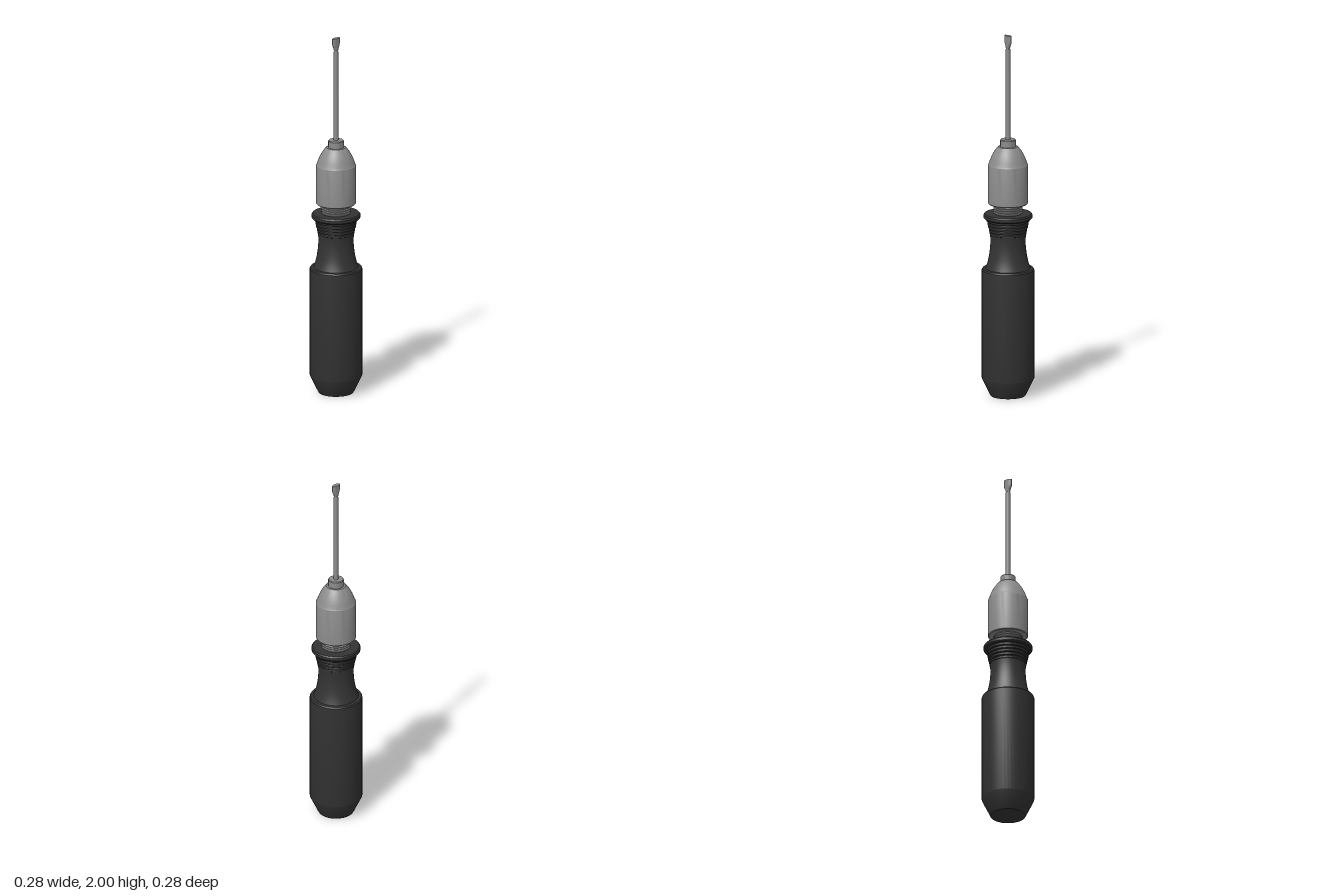
import * as THREE from 'three';
import { toCreasedNormals } from 'three/addons/utils/BufferGeometryUtils.js';

export function createModel() {
  const model = new THREE.Group();
  model.name = 'screwdriver';

  const rubber = new THREE.MeshStandardMaterial({ color: 0x333333 });
  rubber.name = 'black rubber';
  const steel = new THREE.MeshStandardMaterial({ color: 0x8c8c8c });
  steel.name = 'grey steel';

  // Turned part from [radius, height] pairs listed bottom to top
  function turned(name, profile, material, segments = 48) {
    const points = profile.map(([r, y]) => new THREE.Vector2(r, y));
    const geometry = toCreasedNormals(new THREE.LatheGeometry(points, segments), 0.45);
    const mesh = new THREE.Mesh(geometry, material);
    mesh.name = name;
    model.add(mesh);
    return mesh;
  }

  // Grip with chamfered foot and rounded shoulder
  turned('grip', [
    [0, 0], [0.094, 0], [0.098, 0.006], [0.142, 0.098], [0.142, 0.7],
    [0.137, 0.707], [0.122, 0.709], [0, 0.709],
  ], rubber);

  // Waisted neck
  turned('neck', [
    [0.122, 0.708], [0.112, 0.735], [0.104, 0.77], [0.098, 0.81],
    [0.095, 0.85], [0.096, 0.88], [0.098, 0.9], [0, 0.9],
  ], rubber);

  // Ribs flaring out towards the collar
  const ribs = [[0, 0.895]];
  for (let i = 0; i < 5; i++) {
    const y = 0.895 + i * 0.018;
    const r = 0.099 + i * 0.004;
    ribs.push([r - 0.004, y], [r + 0.001, y + 0.004], [r + 0.001, y + 0.014], [r - 0.003, y + 0.018]);
  }
  ribs.push([0, 0.985]);
  turned('neckRibs', ribs, rubber);

  // Collar at the top of the neck
  turned('collar', [
    [0.108, 0.98], [0.126, 0.983], [0.132, 0.99], [0.132, 1.005],
    [0.126, 1.012], [0, 1.012],
  ], rubber);

  // Threaded stud between collar and chuck
  const thread = [[0.074, 1.008]];
  for (let i = 0; i < 5; i++) {
    const y = 1.012 + i * 0.012;
    thread.push([0.074, y], [0.079, y + 0.004], [0.079, y + 0.008], [0.074, y + 0.012]);
  }
  turned('thread', thread, steel);

  // Chuck sleeve with rounded nose
  turned('chuck', [
    [0, 1.066], [0.104, 1.066], [0.108, 1.07], [0.108, 1.283], [0.104, 1.289],
    [0.098, 1.308], [0.088, 1.332], [0.075, 1.356], [0.062, 1.374],
    [0.053, 1.384], [0, 1.384],
  ], steel);
  turned('chuckCap', [
    [0.042, 1.38], [0.042, 1.42], [0.039, 1.424], [0, 1.424],
  ], steel, 32);

  // Shaft and blade, the blade being widened sideways only
  turned('shaft', [[0.0125, 1.42], [0.0125, 1.925], [0, 1.925]], steel, 24);
  const blade = new THREE.CylinderGeometry(0.012, 0.012, 0.09, 32, 9);
  const position = blade.attributes.position;
  for (let i = 0; i < position.count; i++) {
    const y = position.getY(i) + 1.955;
    const spread = THREE.MathUtils.smoothstep(y, 1.935, 1.965);
    position.setX(i, position.getX(i) * (1 + 1.15 * spread));
    position.setY(i, y);
  }
  const tip = new THREE.Mesh(toCreasedNormals(blade, 0.6), steel);
  tip.name = 'bladeTip';
  model.add(tip);

  return model;
}
